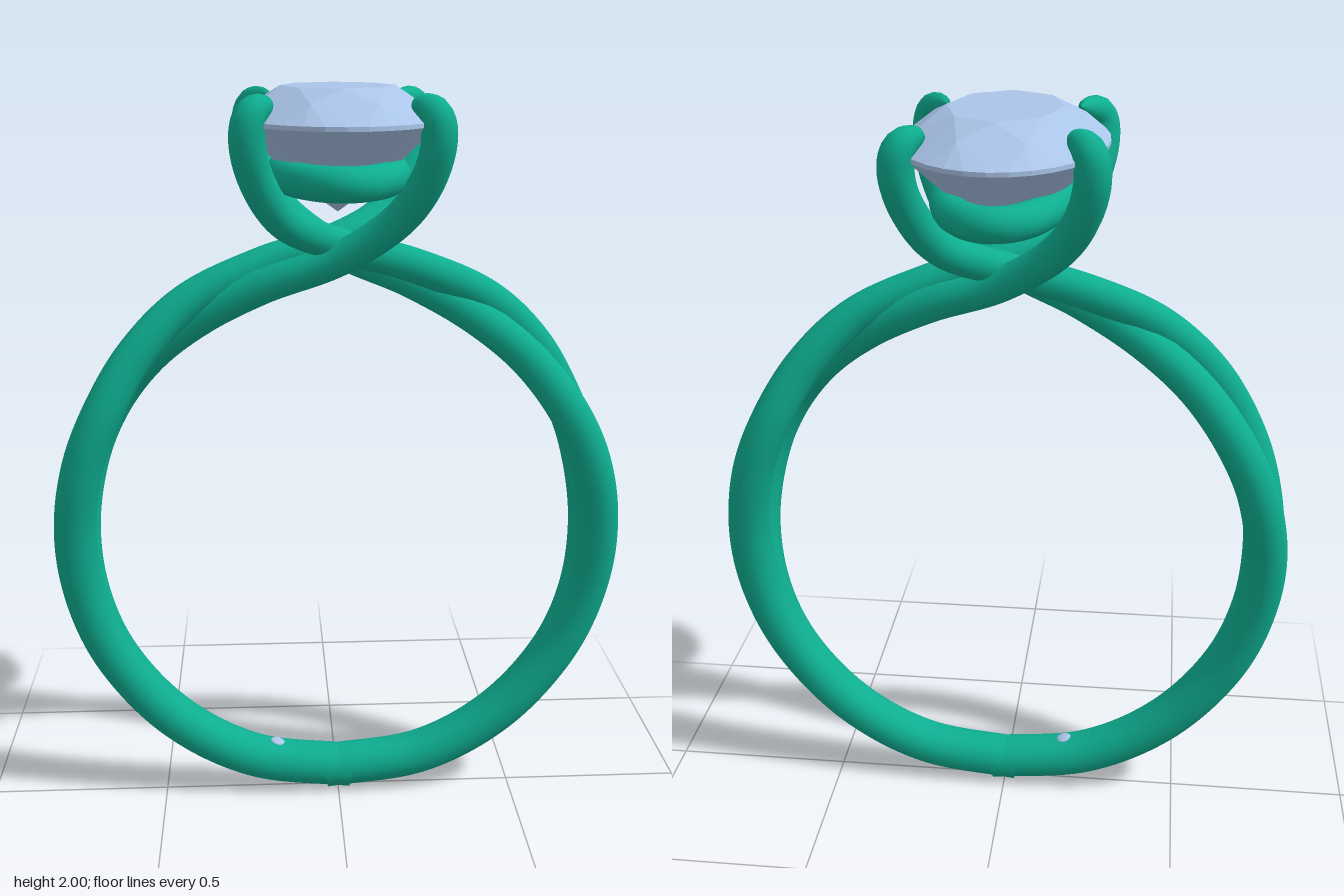
import * as THREE from 'three';
import { ConvexGeometry } from 'three/addons/geometries/ConvexGeometry.js';

const metal = new THREE.MeshStandardMaterial({ color: 0x0eae90 });
const gem = new THREE.MeshStandardMaterial({ color: 0xaac4e8 });

const CENTRE_Y = 0.782;

// Round wire along a path, with a radius that varies from start (0) to end (1)
function wire(points, radiusAt) {
  const curve = new THREE.CatmullRomCurve3(points);
  const rings = 200, sides = 16;
  const geo = new THREE.TubeGeometry(curve, rings, 1, sides);
  const pos = geo.attributes.position;
  const v = new THREE.Vector3();
  for (let i = 0; i <= rings; i++) {
    const c = curve.getPointAt(i / rings);
    const r = radiusAt(i / rings);
    for (let j = 0; j <= sides; j++) {
      const k = i * (sides + 1) + j;
      v.fromBufferAttribute(pos, k).sub(c).multiplyScalar(r).add(c);
      pos.setXYZ(k, v.x, v.y, v.z);
    }
  }
  return geo;
}

// Full wire on the band, slimmer in the prong, rounded to a point at the tip
function strandRadius(t) {
  const body = THREE.MathUtils.lerp(0.059, 0.045, THREE.MathUtils.smoothstep(t, 0.3, 0.85));
  const tip = Math.min(1, (1 - t) / 0.045);
  return body * Math.sqrt(tip * (2 - tip));
}

// Half of the band: [degrees from the bottom, ring radius, z spread]
const outerBand = [
  [-3, 0.72, 0.007], [20, 0.72, 0.007], [40, 0.72, 0.008], [60, 0.72, 0.012], [76, 0.72, 0.026],
  [92, 0.72, 0.055], [108, 0.725, 0.085], [121, 0.735, 0.086], [135, 0.757, 0.052], [149, 0.776, 0.012],
];
const innerBand = outerBand.map(([a, r, z]) => [a, a > 100 ? 0.72 : r, z]);

// Crossing over the finger, then rising on the far side
const outerCross = [[0.2, 1.54, 0.02], [0, 1.6, 0.055]];
const innerCross = [[0.2, 1.49, 0.035], [0, 1.57, 0.088]];
const prong = [
  [-0.145, 1.675, 0.15], [-0.21, 1.78, 0.212], [-0.232, 1.88, 0.25], [-0.222, 1.94, 0.248], [-0.175, 1.968, 0.188],
];

// side: sign of z in the prong; the strand starts on the other side of the band
function strandPoints(band, cross, side) {
  const pts = band.map(([deg, r, z]) => {
    const a = THREE.MathUtils.degToRad(deg);
    return new THREE.Vector3(r * Math.sin(a), CENTRE_Y - r * Math.cos(a), -side * z);
  });
  for (const [x, y, z] of [...cross, ...prong]) pts.push(new THREE.Vector3(x, y, side * z));
  return pts;
}

// Oval faceted stone as the hull of its facet corners
function stoneGeometry() {
  const pts = [];
  const ring = (n, r, y, shift = 0) => {
    for (let i = 0; i < n; i++) {
      const a = ((i + shift) / n) * Math.PI * 2;
      pts.push(new THREE.Vector3(0.263 * r * Math.cos(a), y, 0.4 * r * Math.sin(a)));
    }
  };
  ring(8, 0.56, 2.0);            // table
  ring(8, 0.8, 1.966, 0.5);      // crown
  ring(32, 1, 1.921);            // girdle
  ring(32, 1, 1.91);
  ring(8, 0.75, 1.846, 0.5);     // pavilion
  ring(8, 0.42, 1.758);
  pts.push(new THREE.Vector3(0, 1.68, 0));
  return new ConvexGeometry(pts);
}

export function createModel() {
  const group = new THREE.Group();
  const add = (name, geo, mat, parent = group) => {
    const mesh = new THREE.Mesh(geo, mat);
    mesh.name = name;
    parent.add(mesh);
    return mesh;
  };

  // Twisted band: two strands per side, the second side turned half a revolution
  const outer = wire(strandPoints(outerBand, outerCross, 1), strandRadius);
  const inner = wire(strandPoints(innerBand, innerCross, -1), strandRadius);
  ['left', 'right'].forEach((sideName, i) => {
    const half = new THREE.Group();
    half.name = sideName + 'BandHalf';
    half.rotation.y = i * Math.PI;
    add('outerStrandAndProng', outer, metal, half);
    add('innerStrandAndProng', inner, metal, half);
    group.add(half);
  });

  // Oval gallery rail under the stone
  const rail = [];
  for (let i = 0; i < 32; i++) {
    const a = (i / 32) * Math.PI * 2;
    rail.push(new THREE.Vector3(0.142 * Math.cos(a), 1.782, 0.322 * Math.sin(a)));
  }
  const railCurve = new THREE.CatmullRomCurve3(rail, true);
  add('galleryRail', new THREE.TubeGeometry(railCurve, 96, 0.044, 16, true), metal);

  add('ovalStone', stoneGeometry(), gem);

  // Small stone set flush inside the band
  const accent = add('hiddenStone', new THREE.SphereGeometry(0.022, 16, 10), gem);
  accent.scale.y = 0.35;
  accent.position.set(-0.175, 0.145, 0);
  accent.rotation.z = -0.27;

  return group;
}
